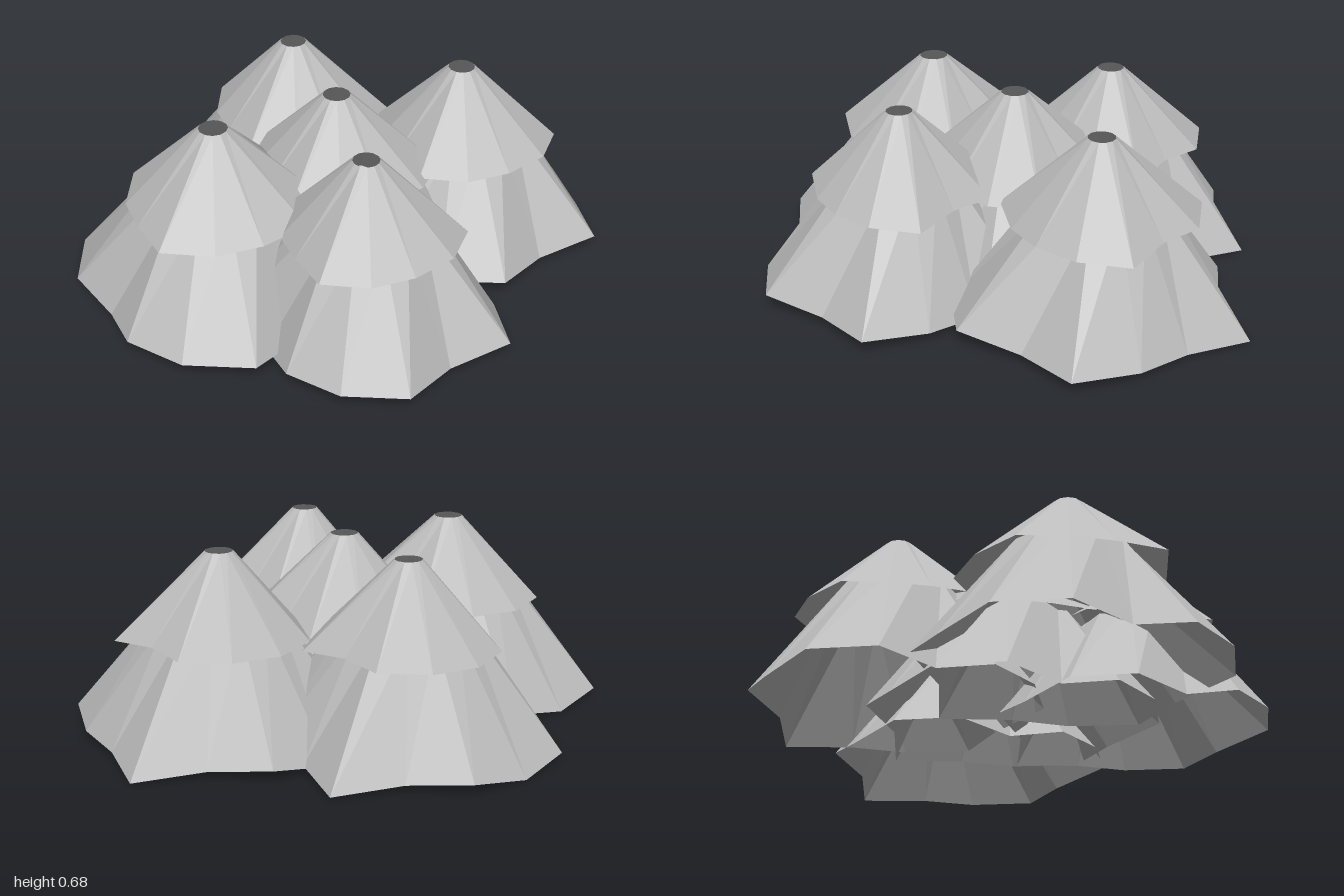
import * as THREE from 'three';

const foliage = new THREE.MeshStandardMaterial({ color: 0xbcbcbc, flatShading: true, side: THREE.DoubleSide });
foliage.name = 'foliage grey';

// Open skirt: a regular ring at the top, an uneven rim of [radius, height] at the bottom
function skirt(name, topRadius, topY, rim) {
  const n = rim.length;
  const at = (i, r, y) => {
    const a = (i / n) * Math.PI * 2;
    return [r * Math.cos(a), y, r * Math.sin(a)];
  };
  const points = [];
  for (let i = 0; i < n; i++) {
    const j = (i + 1) % n;
    const b0 = at(i, ...rim[i]), b1 = at(j, ...rim[j]);
    const t0 = at(i, topRadius, topY), t1 = at(j, topRadius, topY);
    points.push(...b0, ...t0, ...b1, ...t0, ...t1, ...b1);
  }
  const geometry = new THREE.BufferGeometry();
  geometry.setAttribute('position', new THREE.Float32BufferAttribute(points, 3));
  geometry.computeVertexNormals();
  const mesh = new THREE.Mesh(geometry, foliage);
  mesh.name = name;
  return mesh;
}

// Rims run from +x towards +z
const upperRim = [
  [0.375, 0.365], [0.35, 0.375], [0.318, 0.37], [0.32, 0.365], [0.363, 0.385], [0.3, 0.375],
  [0.312, 0.365], [0.34, 0.38], [0.352, 0.375], [0.38, 0.385], [0.35, 0.375], [0.293, 0.38],
];
const lowerRim = [
  [0.49, 0.03], [0.572, 0.045], [0.457, 0.03], [0.558, 0.06], [0.525, 0.055], [0.485, 0.05], [0.415, 0.005],
  [0.505, 0.03], [0.558, 0.02], [0.52, 0.0], [0.52, 0.04], [0.437, 0.02], [0.568, 0.005], [0.45, 0.02],
];

// Each tree: x, z, spread
const trees = [
  [-0.46, 0.185, 1.07],
  [-0.16, -0.45, 1.0],
  [0.475, -0.215, 1.01],
  [0.07, 0.42, 0.975],
  [-0.01, -0.03, 1.03],
];

export function createModel() {
  const model = new THREE.Group();
  model.name = 'treeCluster';
  trees.forEach(([x, z, spread], i) => {
    const tree = new THREE.Group();
    tree.name = `tree${i + 1}`;
    tree.add(skirt('upperFoliage', 0.05, 0.68, upperRim));
    tree.add(skirt('lowerFoliage', 0.22, 0.46, lowerRim));
    tree.position.set(x, 0, z);
    tree.scale.set(spread, 1, spread);
    model.add(tree);
  });
  return model;
}
